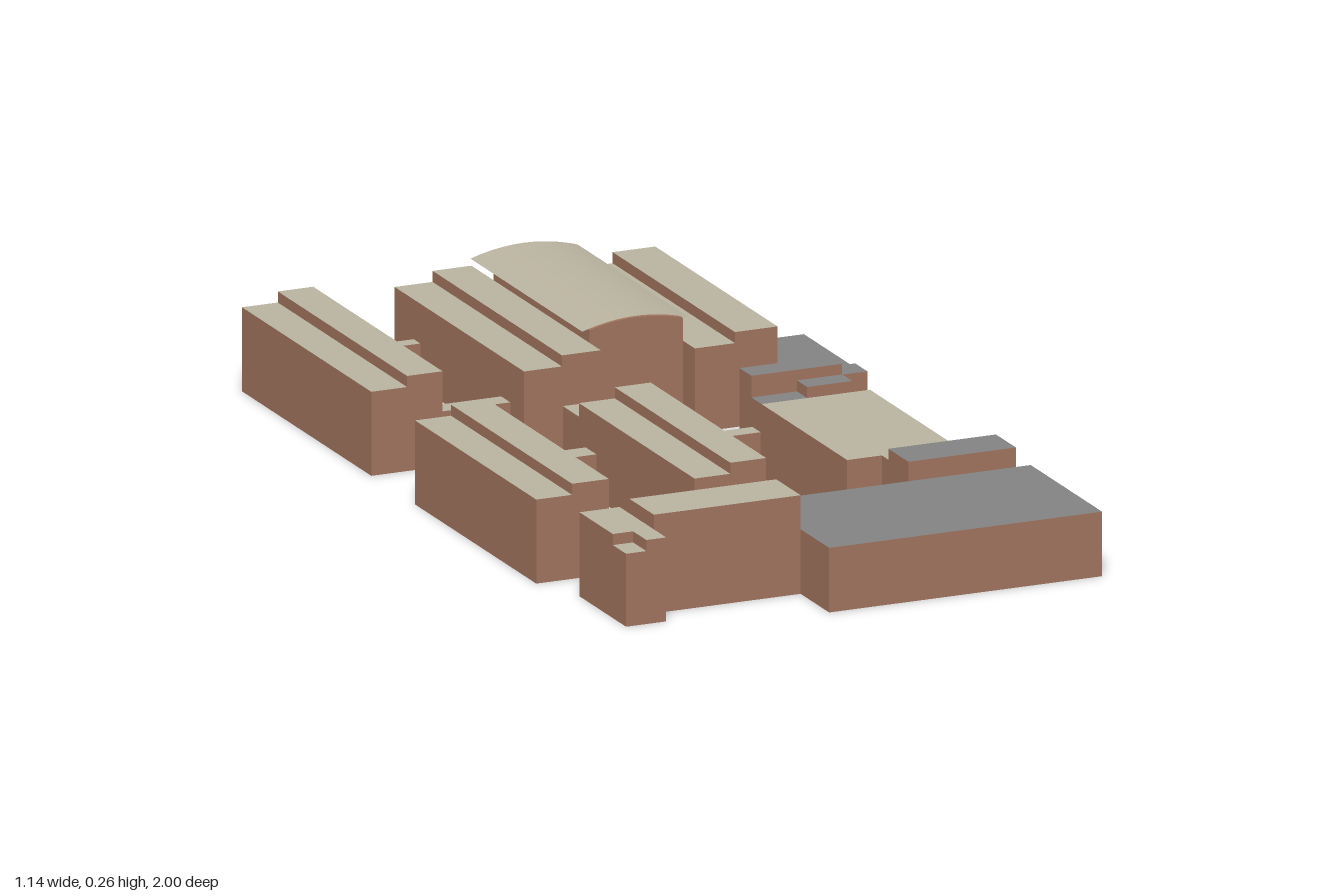
import * as THREE from 'three';

export function createModel() {
  const model = new THREE.Group();
  model.name = 'buildingComplex';

  const mat = (name, color, extra = {}) => {
    const m = new THREE.MeshStandardMaterial({ color, ...extra });
    m.name = name;
    return m;
  };
  const brick = mat('brick', 0xa0735d);
  const stone = mat('paleRoof', 0xb9b39f, { side: THREE.DoubleSide });
  const slate = mat('greyRoof', 0x828282);

  // Brick block standing on the ground: coloured roof on top, grey underside
  function block(name, x0, x1, z0, z1, h, roof = stone, parent = model) {
    const geo = new THREE.BoxGeometry(x1 - x0, h, z1 - z0);
    const mesh = new THREE.Mesh(geo, [brick, brick, roof, slate, brick, brick]);
    mesh.position.set((x0 + x1) / 2, h / 2, (z0 + z1) / 2);
    mesh.name = name;
    parent.add(mesh);
  }

  // Long wing whose roof steps up along its length
  function wing(name, x0, xm, x1, z0, z1) {
    const g = new THREE.Group();
    g.name = name;
    block('lowerHalf', x0, xm, z0, z1, 0.19, stone, g);
    block('upperHalf', xm, x1, z0, z1, 0.215, stone, g);
    model.add(g);
  }
  wing('backRightWing', -0.572, -0.487, -0.403, -1, -0.32);
  wing('backMiddleWing', -0.21, -0.12, -0.028, -1, -0.32);
  wing('backLeftWing', 0.196, 0.291, 0.392, -0.965, -0.322);
  wing('frontRightWing', -0.572, -0.487, -0.4, -0.09, 0.547);
  wing('frontMiddleWing', -0.197, -0.112, -0.027, -0.06, 0.547);

  // Low passages joining the wings
  [
    [-0.403, -0.21, -0.9, -0.865],
    [-0.403, -0.21, -0.44, -0.392],
    [-0.4, -0.197, -0.024, 0.032],
    [-0.4, -0.197, 0.47, 0.507],
    [-0.118, -0.06, -0.32, -0.06],
    [-0.027, 0.193, -0.013, 0.03],
  ].forEach(([a, b, c, d], i) => block('passage' + (i + 1), a, b, c, d, 0.1));

  // Hall with a curved roof
  const cx = 0.085, rise = 0.02, half = 0.127, eave = 0.24;
  const arcY = (x) => eave + rise * (1 - ((x - cx) / half) ** 2);
  block('hallBody', -0.025, 0.196, -0.89, -0.385, 0.2);
  const N = 16;
  const top = new THREE.Shape();
  top.moveTo(-0.025, 0.2);
  top.lineTo(0.196, 0.2);
  for (let i = 0; i <= N; i++) {
    const x = 0.196 - (0.221 * i) / N;
    top.lineTo(x, arcY(x) - 0.003);
  }
  const upper = new THREE.Mesh(
    new THREE.ExtrudeGeometry(top, { depth: 0.505, bevelEnabled: false }), brick);
  upper.position.z = -0.89;
  upper.name = 'hallUpperWalls';
  model.add(upper);

  // Thin arched sheet overhanging the back of the hall
  const sheet = new THREE.PlaneGeometry(2 * half, 0.588, N, 1);
  sheet.rotateX(-Math.PI / 2);
  sheet.translate(cx, 0, -0.68);
  const p = sheet.attributes.position;
  for (let i = 0; i < p.count; i++) p.setY(i, arcY(p.getX(i)));
  sheet.computeVertexNormals();
  const arch = new THREE.Mesh(sheet, stone);
  arch.name = 'archedRoof';
  model.add(arch);

  // Low annexe beside the back left wing
  block('annexe', 0.392, 0.57, -0.578, -0.322, 0.103, slate);

  // Front left building with its entrance blocks at both ends
  block('leftHouse', 0.193, 0.45, 0.035, 0.485, 0.165);
  block('leftHouseEnd', 0.275, 0.45, 0.485, 0.52, 0.165);
  block('rearTower', 0.193, 0.408, -0.08, -0.018, 0.214, slate);
  block('rearTowerSide', 0.408, 0.467, -0.08, -0.016, 0.19, slate);
  block('rearLobby', 0.301, 0.408, -0.018, 0.035, 0.19, slate);
  block('rearPorch', 0.193, 0.301, -0.018, 0.035, 0.165, slate);
  block('frontLobby', 0.275, 0.53, 0.52, 0.625, 0.19, slate);

  // Broad flat block at the front
  block('frontBlock', -0.082, 0.565, 0.625, 1, 0.146, slate);
  block('frontBlockCorner', -0.082, 0.016, 0.598, 0.625, 0.146, slate);

  // T-shaped wing at the front right
  block('crossWing', -0.43, -0.082, 0.722, 0.85, 0.223);
  block('crossWingEnd', -0.525, -0.43, 0.67, 0.845, 0.19);
  block('crossWingFront', -0.477, -0.43, 0.845, 0.915, 0.19);
  block('crossWingPorch', -0.525, -0.477, 0.845, 0.915, 0.165);

  return model;
}
